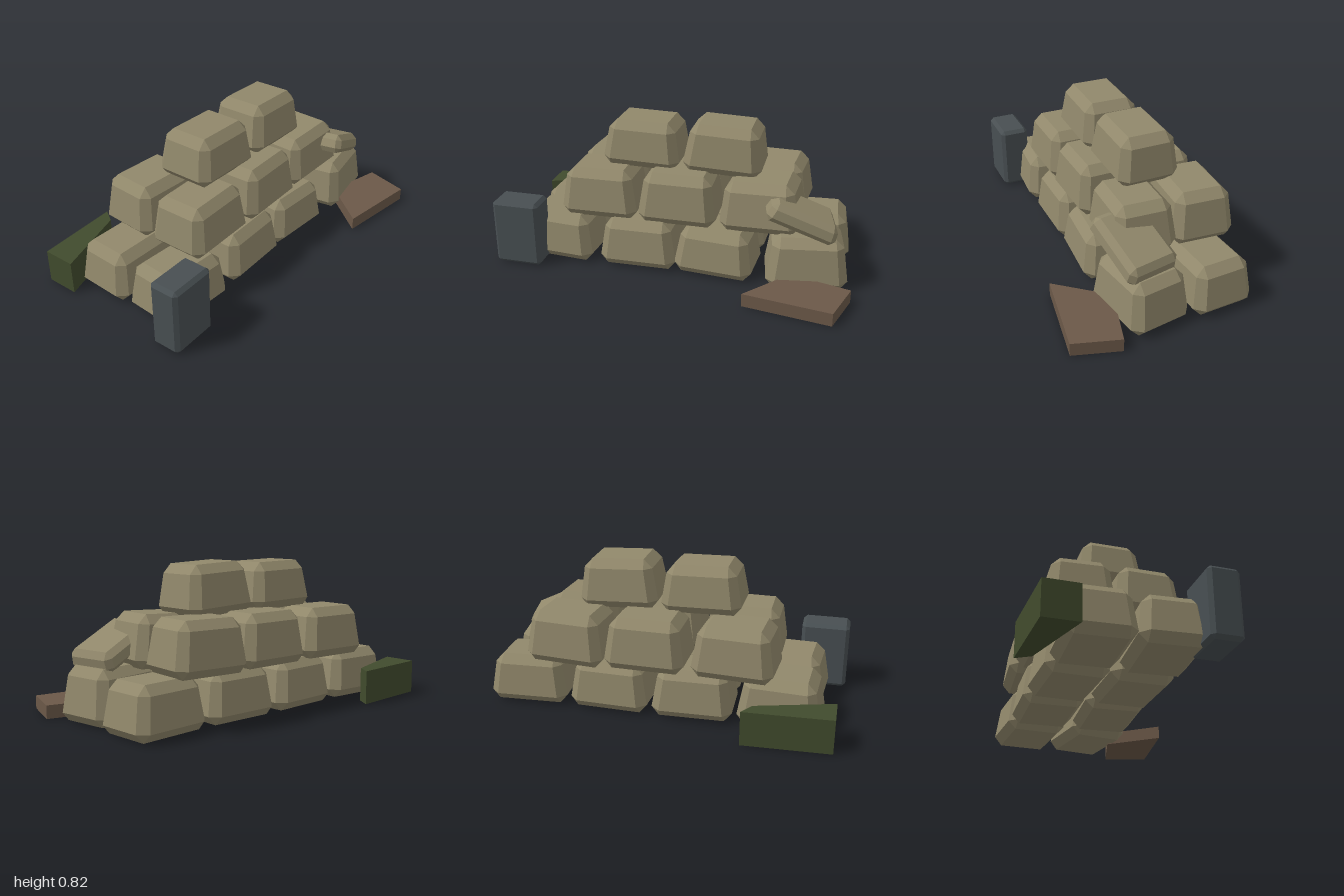
import * as THREE from 'three';
import { ConvexGeometry } from 'three/addons/geometries/ConvexGeometry.js';

const material = (name, color) => {
  const m = new THREE.MeshStandardMaterial({ color });
  m.name = name;
  return m;
};

// Box with every edge bevelled, narrowing towards the top
function bevelledBox(w, h, d, c, taper = 1) {
  const x = w / 2, y = h / 2, z = d / 2, points = [];
  for (const sx of [-1, 1]) for (const sy of [-1, 1]) for (const sz of [-1, 1]) {
    for (const [px, py, pz] of [[x, y - c, z - c], [x - c, y, z - c], [x - c, y - c, z]]) {
      const s = THREE.MathUtils.lerp(1, taper, (sy * py + y - c) / (h - 2 * c));
      points.push(new THREE.Vector3(sx * px * s, sy * py, sz * pz * s));
    }
  }
  return new ConvexGeometry(points);
}

// Flat slab standing on the ground, from an outline of [x, z] corners
function slab(outline, height) {
  const points = outline.flatMap(([x, z]) => [new THREE.Vector3(x, 0, z), new THREE.Vector3(x, height, z)]);
  return new ConvexGeometry(points);
}

export function createModel() {
  const group = new THREE.Group();
  const sand = material('sand canvas', 0x91886b);
  const steel = material('dark steel', 0x484f52);
  const green = material('olive green', 0x414b2d);
  const brown = material('brown wood', 0x6b5848);

  const add = (name, geometry, mat, x = 0, y = 0, z = 0, ry = 0, rz = 0) => {
    const mesh = new THREE.Mesh(geometry, mat);
    mesh.name = name;
    mesh.position.set(x, y, z);
    mesh.rotation.set(0, ry, rz);
    group.add(mesh);
  };

  // Stacked sandbags: x, bottom y, z, height, yaw, roll
  const layers = {
    bottomFrontBag: [
      [-0.672, 0.005, 0.105, 0.27, -0.07, -0.01],
      [-0.195, 0.005, 0.108, 0.275, 0, 0.01],
      [0.247, 0.005, 0.115, 0.265, -0.06, -0.02],
      [0.738, 0.005, 0.125, 0.29, 0.16, 0],
    ],
    bottomBackBag: [
      [-0.675, 0.005, -0.25, 0.27, -0.05, 0.01],
      [-0.2, 0.005, -0.245, 0.27, 0.03, 0],
      [0.26, 0.005, -0.245, 0.27, -0.03, 0],
      [0.735, 0.005, -0.25, 0.27, 0.06, 0],
    ],
    middleFrontBag: [
      [-0.43, 0.268, 0.06, 0.282, 0, 0.01],
      [0.02, 0.272, 0.065, 0.288, 0.02, -0.01],
      [0.482, 0.272, 0.055, 0.28, -0.05, 0.04],
    ],
    middleBackBag: [
      [-0.43, 0.268, -0.278, 0.28, -0.07, 0],
      [0.05, 0.27, -0.275, 0.285, -0.02, 0],
      [0.485, 0.27, -0.28, 0.285, -0.07, 0.01],
    ],
    topBag: [
      [-0.212, 0.543, -0.065, 0.262, -0.01, -0.02],
      [0.248, 0.54, -0.065, 0.272, 0.01, -0.04],
    ],
  };
  for (const [name, bags] of Object.entries(layers)) {
    bags.forEach(([x, y, z, h, ry, rz], i) =>
      add(`${name}${i + 1}`, bevelledBox(0.44, h, 0.347, 0.048, 0.87), sand, x, y + h / 2, z, ry, rz));
  }

  // Flattened bag slumped over the corner
  add('slumpedBag', bevelledBox(0.4, 0.108, 0.3, 0.03, 0.96), sand, 0.7, 0.392, 0.147, 0.2, -0.41);

  // Debris around the pile
  add('steelBlock', bevelledBox(0.27, 0.38, 0.17, 0.02), steel, -0.865, 0.19, 0.295);
  add('greenWedge', slab([[-0.97, -0.57], [-0.5, -0.59], [-0.55, -0.51], [-0.97, -0.385]], 0.19), green);
  add('brownPlank', slab([[0.45, 0.51], [0.925, 0.585], [1, 0.335], [0.67, 0.245]], 0.073), brown);

  return group;
}
